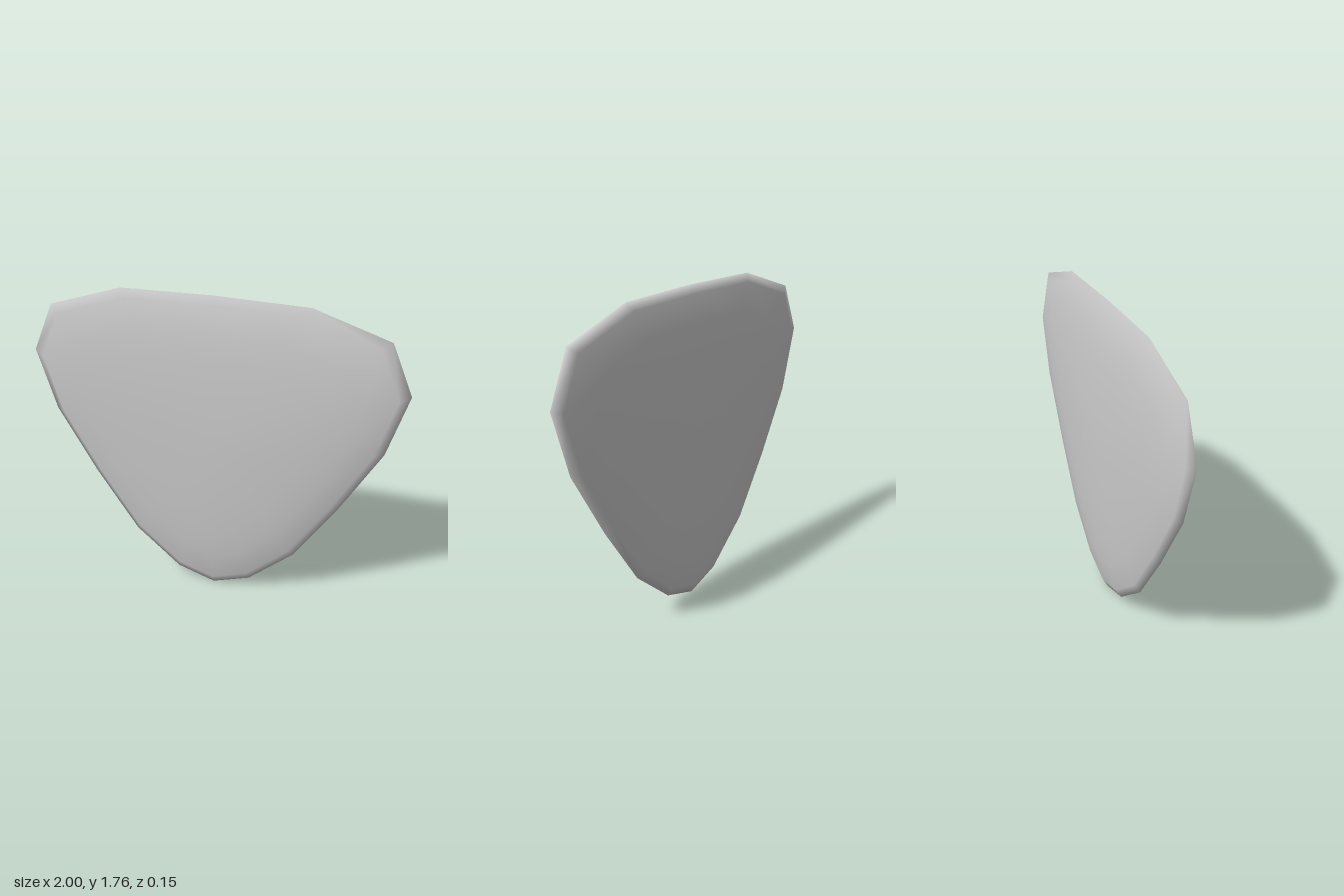
import * as THREE from 'three';

// Right half of the outline, from bottom tip to top centre
const HALF = [
  [0, 0], [0.21, 0.07], [0.46, 0.29], [0.69, 0.64], [0.9, 1.01],
  [1, 1.35], [0.885, 1.62], [0.49, 1.75], [0, 1.76],
];
const CENTRE_Y = 0.95;

// Cross-section from centre to rim: [outline scale, half thickness]
const SECTION = [[0.2, 0.074], [0.42, 0.069], [0.6, 0.061], [0.77, 0.05], [0.945, 0.027], [1, 0]];

function createPlate() {
  // Mirror the half outline into a full counter-clockwise loop
  const outline = [...HALF, ...HALF.slice(1, -1).reverse().map(([x, y]) => [-x, y])];
  const n = outline.length;

  // Rings run over the front face, round the rim and over the back face
  const back = SECTION.slice(0, -1).reverse().map(([s, z]) => [s, -z]);
  const rings = [...SECTION, ...back];
  const positions = [];
  for (const [s, z] of rings) {
    for (const [x, y] of outline) positions.push(x * s, CENTRE_Y + (y - CENTRE_Y) * s, z);
  }
  const frontPole = rings.length * n;
  const backPole = frontPole + 1;
  positions.push(0, CENTRE_Y, 0.075, 0, CENTRE_Y, -0.075);

  const index = [];
  const last = (rings.length - 1) * n;
  for (let i = 0; i < n; i++) {
    const j = (i + 1) % n;
    index.push(frontPole, i, j, backPole, last + j, last + i);
    for (let k = 0; k < last; k += n) {
      index.push(k + i, k + n + i, k + n + j, k + i, k + n + j, k + j);
    }
  }

  const geometry = new THREE.BufferGeometry();
  geometry.setAttribute('position', new THREE.Float32BufferAttribute(positions, 3));
  geometry.setIndex(index);
  geometry.computeVertexNormals();
  return geometry;
}

export function createModel() {
  const group = new THREE.Group();
  group.name = 'guitarPick';
  const plate = new THREE.Mesh(createPlate(), new THREE.MeshStandardMaterial({ color: 0xcccccc }));
  plate.name = 'pickPlate';
  group.add(plate);
  return group;
}
